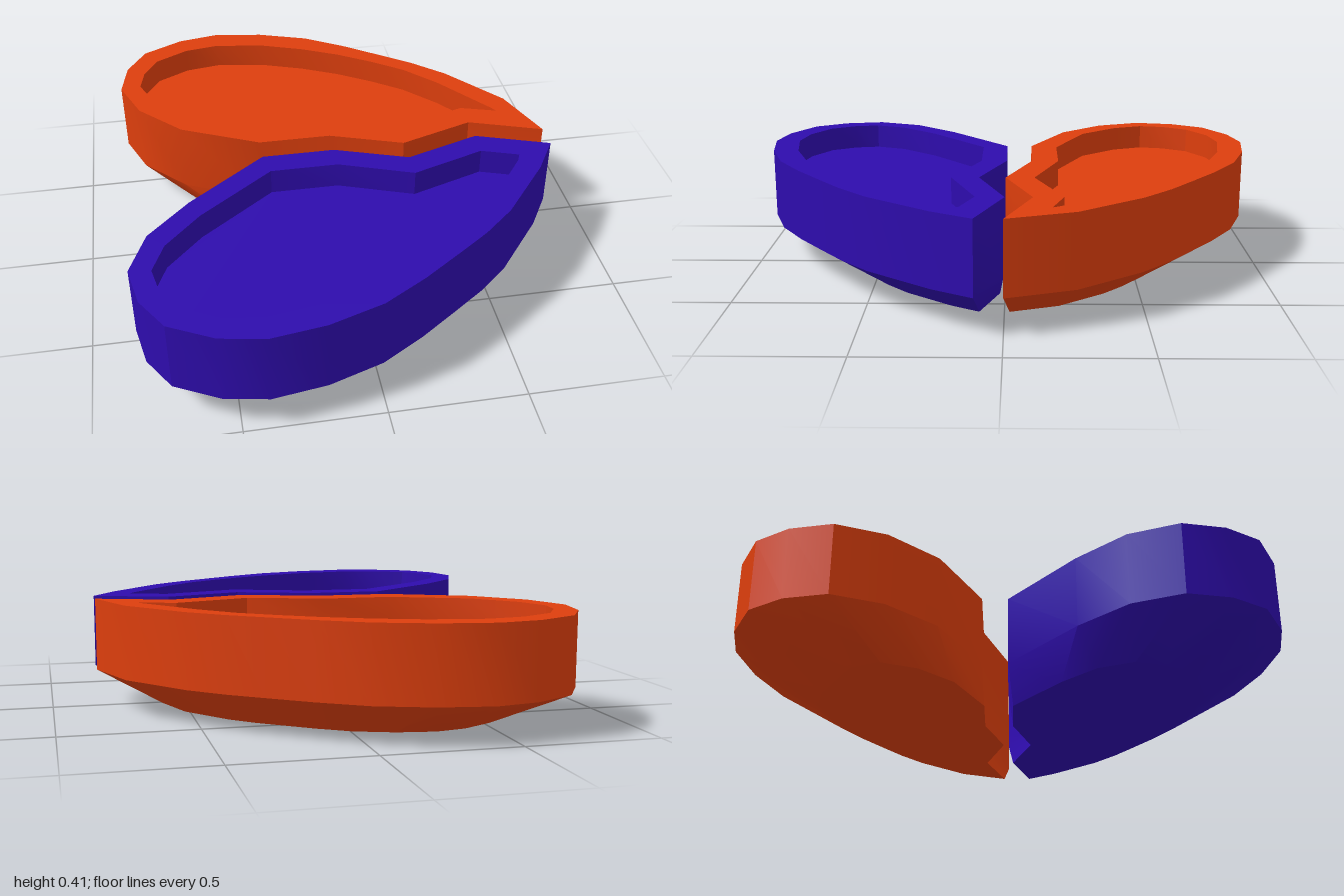
import * as THREE from 'three';
import { toCreasedNormals } from 'three/addons/utils/BufferGeometryUtils.js';

// Rounded outer side, shared by both dishes: [x, distance from the middle]
const OUTER_ARC = [
  [0.74, 0.25], [0.55, 0.49], [0.43, 0.6], [0.31, 0.69], [0.16, 0.8], [0, 0.9], [-0.2, 0.97],
  [-0.4, 1], [-0.56, 0.97], [-0.72, 0.885], [-0.8, 0.755], [-0.83, 0.595], [-0.76, 0.415], [-0.6, 0.245],
];
const INNER_ARC = [
  [0.67, 0.19], [0.5, 0.42], [0.38, 0.55], [0.26, 0.64], [0.12, 0.73], [-0.03, 0.805], [-0.2, 0.868],
  [-0.4, 0.9], [-0.54, 0.877], [-0.67, 0.805], [-0.73, 0.705], [-0.75, 0.605], [-0.7, 0.48], [-0.565, 0.33],
];
const ZIGZAG_X = [-0.3, -0.02, 0.26, 0.55, 0.83];
const INNER_ZIGZAG_X = [-0.28, -0.02, 0.26, 0.545, 0.685];

const RIM_Y = 0.415, TAPER_Y = 0.14, FLOOR_Y = 0.315;
const BASE_SCALE = 0.71;

function geometryFrom(rings, order, caps) {
  const n = rings[0].length;
  const index = [];
  // Walls between neighbouring rings
  for (const [lo, hi] of order) {
    for (let i = 0; i < n; i++) {
      const j = (i + 1) % n;
      const a = lo * n + i, b = lo * n + j, c = hi * n + j, d = hi * n + i;
      index.push(a, d, c, a, c, b);
    }
  }
  // Flat caps, each facing up (1) or down (-1)
  for (const [r, facing] of caps) {
    const flat = rings[r].map(([x, , z]) => new THREE.Vector2(x, z));
    for (const [a, b, c] of THREE.ShapeUtils.triangulateShape(flat, [])) {
      const p = flat[a], q = flat[b], s = flat[c];
      const up = (q.y - p.y) * (s.x - p.x) - (q.x - p.x) * (s.y - p.y);
      const tri = up * facing > 0 ? [a, b, c] : [a, c, b];
      index.push(...tri.map((k) => r * n + k));
    }
  }
  const geo = new THREE.BufferGeometry();
  geo.setAttribute('position', new THREE.Float32BufferAttribute(rings.flat(2), 3));
  geo.setIndex(index);
  return toCreasedNormals(geo, THREE.MathUtils.degToRad(30));
}

// side is +1 for the front dish and -1 for the back dish
function makeDish(name, side, zigzag, innerZigzag, material) {
  const outline = (xs, zs, arc) => {
    const pts = [...xs.map((x, i) => [x, zs[i]]), ...arc].map(([x, z]) => [x, z * side]);
    return side > 0 ? pts : pts.reverse();
  };
  const outer = outline(ZIGZAG_X, zigzag, OUTER_ARC);
  const inner = outline(INNER_ZIGZAG_X, innerZigzag, INNER_ARC);
  const at = (pts, y) => pts.map(([x, z]) => [x, y, z]);
  const base = outer.map(([x, z]) => [
    x * BASE_SCALE - 0.008, z * BASE_SCALE + 0.019 * side,
  ]);

  const dish = new THREE.Group();
  dish.name = name;
  const add = (part, geo) => {
    const mesh = new THREE.Mesh(geo, material);
    mesh.name = part;
    dish.add(mesh);
  };
  // Tapered base, straight outer wall, flat rim and recess wall
  add('shell', geometryFrom(
    [at(base, 0), at(outer, TAPER_Y), at(outer, RIM_Y), at(inner, RIM_Y), at(inner, FLOOR_Y)],
    [[0, 1], [1, 2], [2, 3], [3, 4]], [[0, -1]],
  ));
  add('recessFloor', geometryFrom([at(inner, FLOOR_Y)], [], [[0, 1]]));
  return dish;
}

export function createModel() {
  const blue = new THREE.MeshStandardMaterial({ color: 0x2e0cac });
  blue.name = 'indigo blue';
  const orange = new THREE.MeshStandardMaterial({ color: 0xdc3e0d });
  orange.name = 'burnt orange';

  // The facing edges zigzag in parallel
  const model = new THREE.Group();
  model.name = 'interlockingDishes';
  model.add(
    makeDish('frontDish', 1, [0, 0, 0.1, 0, 0.1], [0.1, 0.1, 0.205, 0.105, 0.155], blue),
    makeDish('backDish', -1, [0.1, 0.1, 0, 0.1, 0], [0.205, 0.205, 0.108, 0.21, 0.165], orange),
  );
  return model;
}
